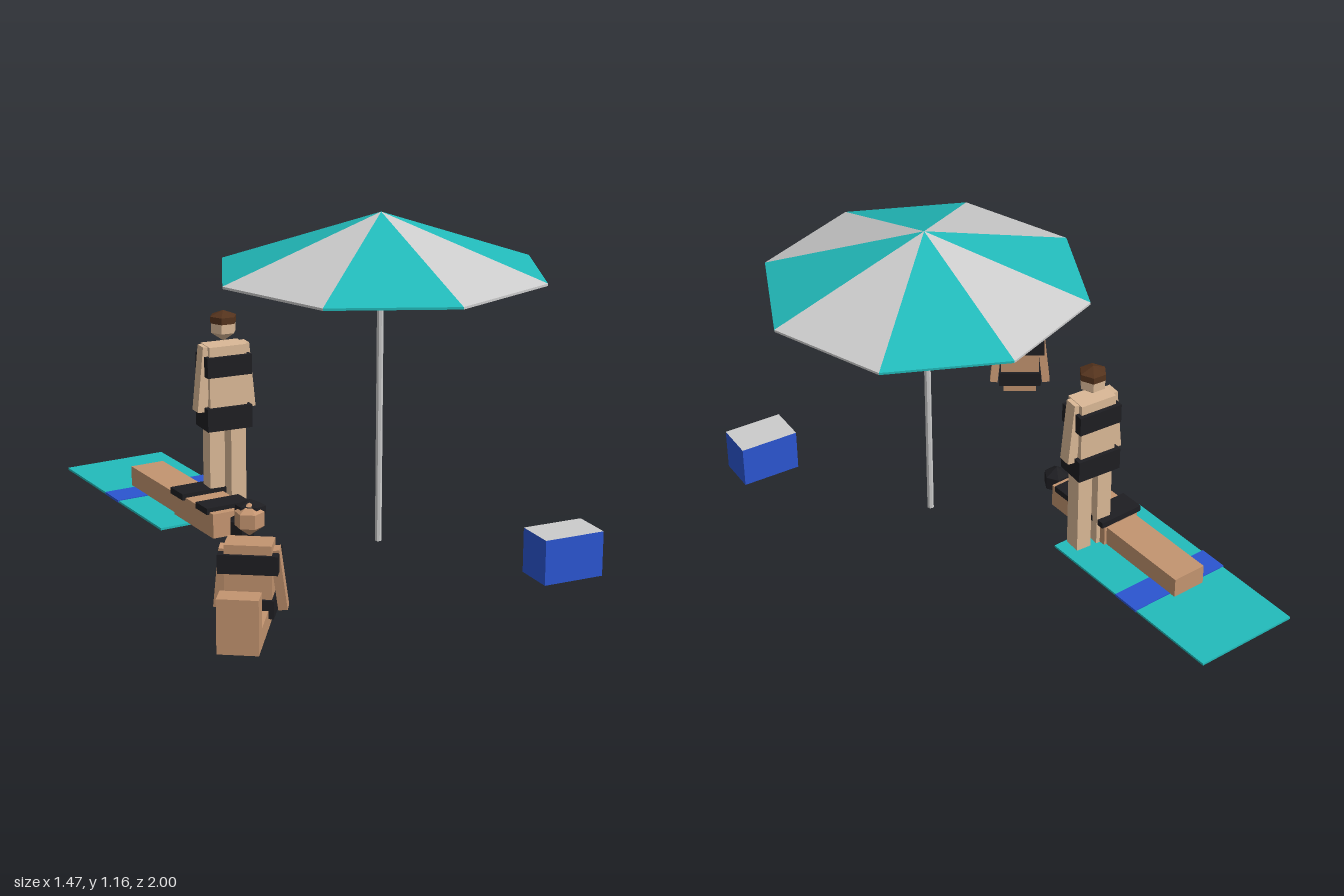
import * as THREE from 'three';

const mat = (color) => new THREE.MeshStandardMaterial({ color, flatShading: true, side: THREE.DoubleSide });
const GREY = mat(0xcccccc), TEAL = mat(0x22bbbb), BLUE = mat(0x2b55d0);
const BLACK = mat(0x1e1e22), BROWN = mat(0x54331d), PALE = mat(0xdab896), TAN = mat(0xc39470);

function add(parent, name, geometry, material) {
  const mesh = new THREE.Mesh(geometry, material);
  mesh.name = name;
  parent.add(mesh);
  return mesh;
}

function makeGroup(parent, name, x, z, turn = 0) {
  const g = new THREE.Group();
  g.name = name;
  g.position.set(x, 0, z);
  g.rotation.y = turn;
  parent.add(g);
  return g;
}

// Box given by width, depth, bottom, top and centre in x and z
function block(parent, name, material, w, d, y0, y1, x = 0, z = 0) {
  const mesh = add(parent, name, new THREE.BoxGeometry(w, y1 - y0, d), material);
  mesh.position.set(x, (y0 + y1) / 2, z);
  return mesh;
}

// Square limb running from one point to another
function limb(parent, name, material, from, to, w, d) {
  const a = new THREE.Vector3(...from), b = new THREE.Vector3(...to);
  const mesh = add(parent, name, new THREE.BoxGeometry(w, a.distanceTo(b), d), material);
  mesh.position.copy(a).add(b).multiplyScalar(0.5);
  mesh.quaternion.setFromUnitVectors(new THREE.Vector3(0, 1, 0), a.sub(b).normalize());
  return mesh;
}

// Six-sided solid from a profile
function sixSided(parent, name, material, profile) {
  const points = profile.map(([r, y]) => new THREE.Vector2(r, y));
  return add(parent, name, new THREE.LatheGeometry(points, 6, Math.PI / 2), material);
}

function head(parent, y, z, skin, hairMaterial, hairShift) {
  sixSided(parent, 'head', skin, [[0, -0.055], [0.047, -0.022], [0.047, 0.024], [0, 0.052]]).position.set(0, y, z);
  const hair = sixSided(parent, 'hair', hairMaterial, [[0.049, 0.012], [0.049, 0.036], [0, 0.056]]);
  hair.position.set(0, y, z - hairShift);
  hair.rotation.x = -hairShift * 6;
}

function buildParasol(root) {
  const g = makeGroup(root, 'parasol', 0.155, 0.235);
  const pole = add(g, 'pole', new THREE.CylinderGeometry(0.012, 0.012, 1.08, 8), GREY);
  pole.position.y = 0.54;
  // Eight alternating canopy panels, each with a thin rim
  for (let i = 0; i < 8; i++) {
    const profile = [[0.575, 0.952], [0.575, 0.96], [0, 1.16]].map(([r, y]) => new THREE.Vector2(r, y));
    const panel = new THREE.LatheGeometry(profile, 1, i * Math.PI / 4, Math.PI / 4);
    add(g, 'canopyPanel', panel, i % 2 ? TEAL : GREY);
  }
}

function buildStander(root) {
  const g = makeGroup(root, 'standingFigure', -0.22, -0.243);
  block(g, 'torso', PALE, 0.14, 0.085, 0.38, 0.635);
  block(g, 'swimBottom', BLACK, 0.17, 0.115, 0.332, 0.415);
  block(g, 'swimTop', BLACK, 0.168, 0.115, 0.528, 0.6);
  for (const s of [-1, 1]) {
    block(g, 'leg', PALE, 0.057, 0.065, 0.01, 0.36, s * 0.041);
    limb(g, 'arm', PALE, [s * 0.07, 0.633, 0], [s * 0.093, 0.398, 0], 0.036, 0.05);
  }
  head(g, 0.7, 0, PALE, BROWN, 0);
}

function buildSitter(root) {
  const g = makeGroup(root, 'sittingFigure', -0.545, 0.735, -0.55);
  block(g, 'torso', TAN, 0.15, 0.09, 0.04, 0.27);
  block(g, 'swimBottom', BLACK, 0.165, 0.11, 0.035, 0.095);
  block(g, 'swimTop', BLACK, 0.19, 0.11, 0.178, 0.24);
  block(g, 'thighs', TAN, 0.13, 0.24, 0, 0.062, 0, 0.08);
  block(g, 'shins', TAN, 0.13, 0.072, 0, 0.178, 0, 0.23);
  for (const s of [-1, 1]) {
    limb(g, 'arm', TAN, [s * 0.08, 0.25, 0], [s * 0.103, 0.045, -0.025], 0.03, 0.04);
  }
  head(g, 0.343, 0, TAN, BLACK, 0.02);
}

function buildSunbather(root) {
  const g = makeGroup(root, 'lyingFigure', -0.297, 0, 0.094);
  block(g, 'torso', TAN, 0.15, 0.3, 0.012, 0.1, 0, -0.145);
  block(g, 'legs', TAN, 0.13, 0.4, 0.012, 0.086, 0, -0.465);
  block(g, 'swimTop', BLACK, 0.17, 0.085, 0.092, 0.115, 0, -0.065);
  block(g, 'swimBottom', BLACK, 0.175, 0.095, 0.092, 0.115, 0, -0.25);
  sixSided(g, 'head', BLACK, [[0, -0.053], [0.047, -0.025], [0.047, 0.025], [0, 0.053]]).position.set(0.006, 0.062, 0.067);
}

export function createModel() {
  const root = new THREE.Group();
  root.name = 'beachScene';

  buildParasol(root);
  buildStander(root);
  buildSitter(root);
  buildSunbather(root);

  // Towel with a cross stripe
  const towel = makeGroup(root, 'towel', -0.335, -0.585, 0.094);
  block(towel, 'towelCloth', TEAL, 0.397, 0.795, 0.002, 0.01);
  block(towel, 'towelStripe', BLUE, 0.405, 0.11, 0.004, 0.013);

  // Cool box with a pale lid face
  block(root, 'coolBox', [BLUE, BLUE, GREY, BLUE, BLUE, BLUE], 0.22, 0.143, 0, 0.156, 0.564, 0.783);
  return root;
}
